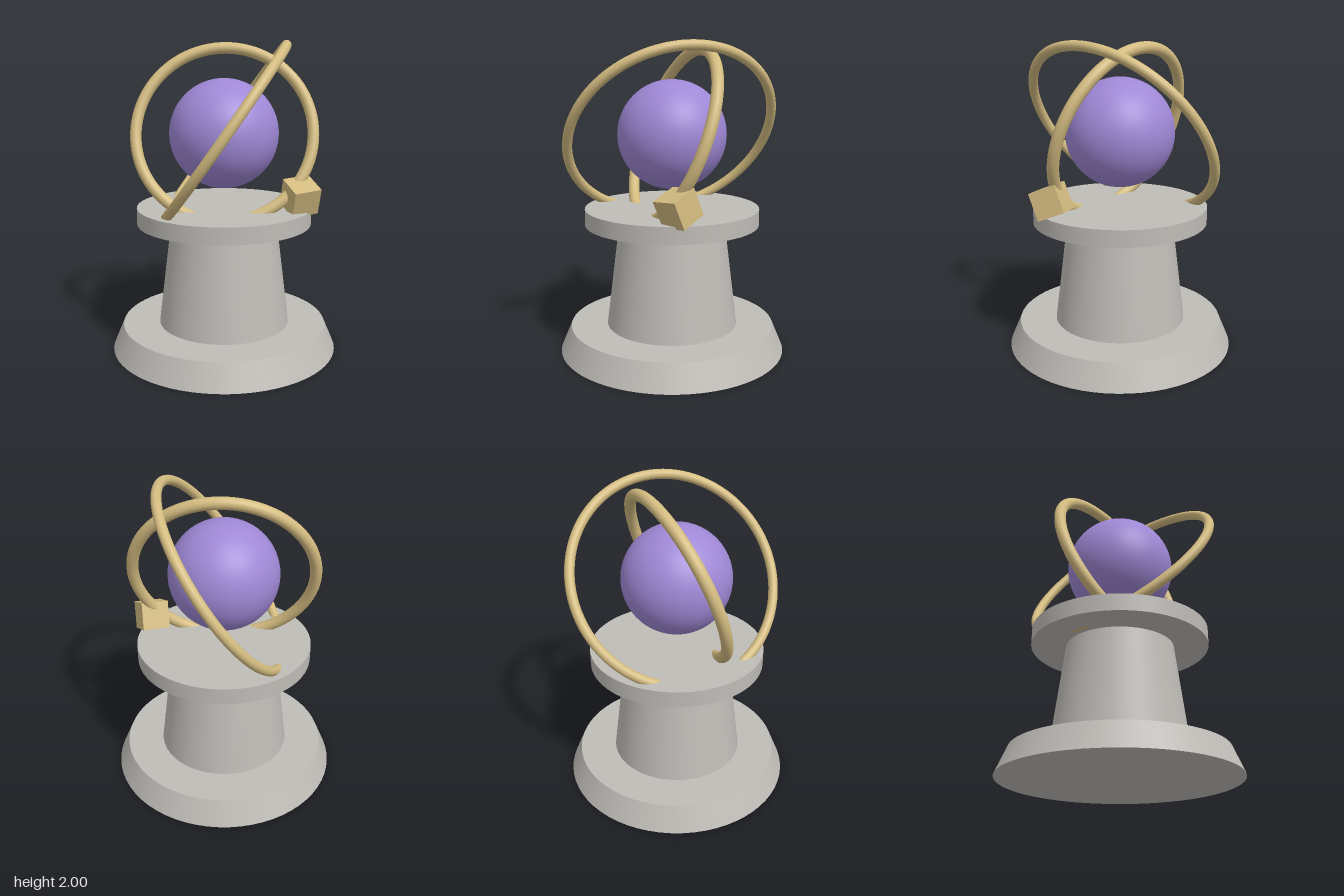
import * as THREE from 'three';

const material = (name, color) => {
  const m = new THREE.MeshStandardMaterial({ color });
  m.name = name;
  return m;
};

export function createModel() {
  const model = new THREE.Group();
  model.name = 'orbPedestal';
  const stone = material('stone grey', 0xbfbcb7);
  const gold = material('pale gold', 0xd3bb80);
  const violet = material('violet', 0x9f88d6);
  const centreY = 1.418;

  const add = (name, geometry, mat, x = 0, y = 0, z = 0) => {
    const mesh = new THREE.Mesh(geometry, mat);
    mesh.name = name;
    mesh.position.set(x, y, z);
    model.add(mesh);
    return mesh;
  };

  // Stone pedestal: [name, top radius, bottom radius, bottom y, top y]
  const tiers = [
    ['base', 0.67, 0.74, 0, 0.165],
    ['column', 0.345, 0.43, 0.165, 0.84],
    ['topDisc', 0.565, 0.565, 0.84, 0.947],
  ];
  for (const [name, top, bottom, y0, y1] of tiers) {
    add(name, new THREE.CylinderGeometry(top, bottom, y1 - y0, 64), stone, 0, (y0 + y1) / 2, 0);
  }

  // Floating orb
  add('orb', new THREE.SphereGeometry(0.349, 64, 40), violet, 0, centreY, 0);

  // Inner ring leans back, outer ring runs front to back and leans sideways
  const deg = THREE.MathUtils.degToRad;
  const inner = new THREE.TorusGeometry(0.567, 0.037, 20, 96).rotateX(deg(-20));
  add('innerRing', inner, gold, 0, centreY, 0);
  const outer = new THREE.TorusGeometry(0.673, 0.031, 20, 96).rotateY(Math.PI / 2).rotateZ(deg(-35));
  add('outerRing', outer, gold, 0, centreY, 0);

  // Tilted block on the inner ring
  const block = add('ringBlock', new THREE.BoxGeometry(0.178, 0.178, 0.178), gold, 0.487, 1.043, 0.135);
  block.rotation.set(0.42, 0.43, -0.09);

  return model;
}
